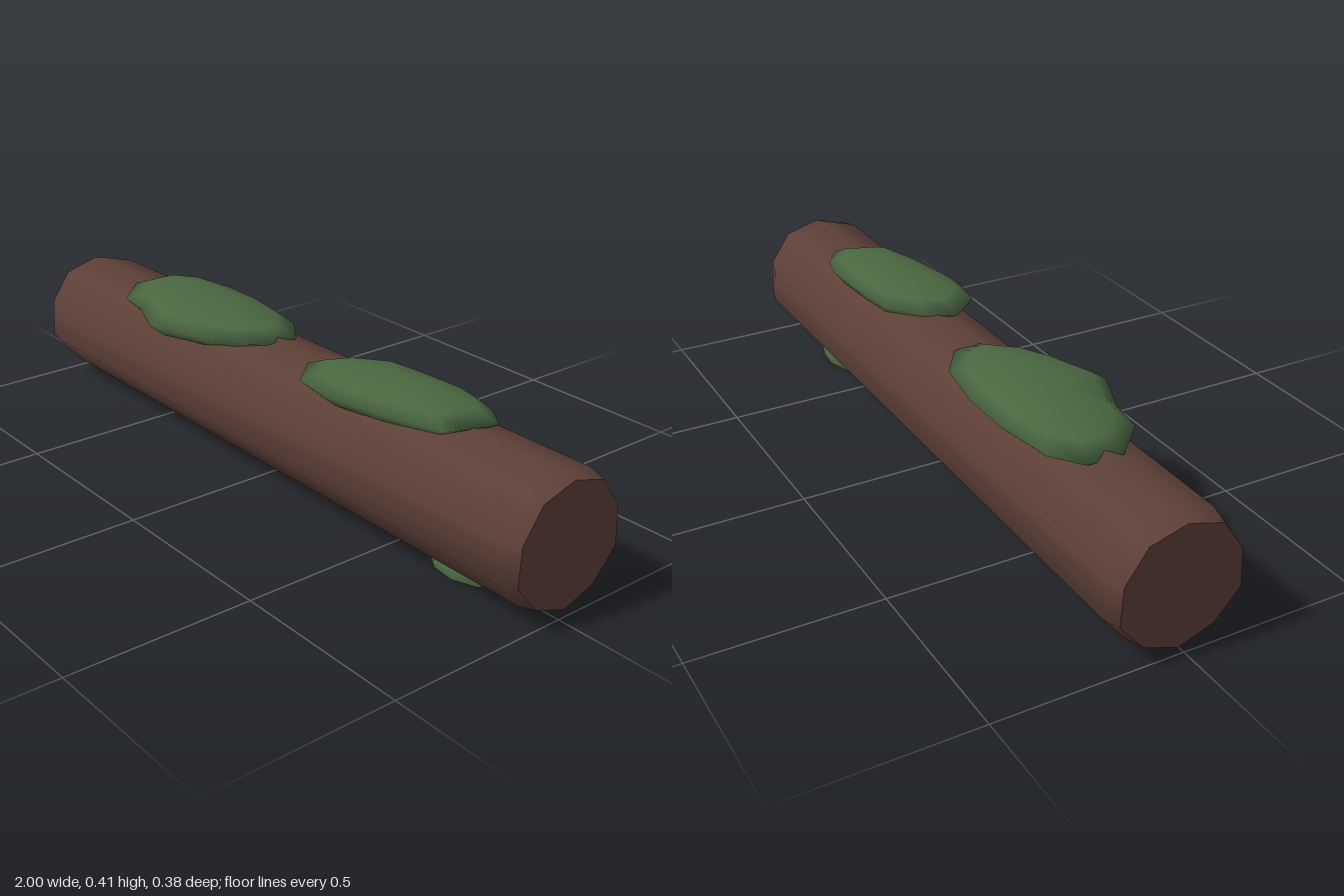
import * as THREE from 'three';

const bark = new THREE.MeshStandardMaterial({ color: 0x5d4037 });
bark.name = 'bark';
const moss = new THREE.MeshStandardMaterial({ color: 0x4a6741, side: THREE.DoubleSide });
moss.name = 'moss';

const LOG_Y = 0.185, LOG_Z = -0.017;
// corner radii from the top of the log down to the bottom, same on both sides
const RADII = [0.177, 0.181, 0.178, 0.184, 0.174, 0.177];

function part(name, geometry, material) {
  const mesh = new THREE.Mesh(geometry, material);
  mesh.name = name;
  return mesh;
}

// Ring corner k (0 at the top) at position x, scaled by s
function corner(k, x, s) {
  const a = (k / 10) * Math.PI * 2;
  const r = RADII[Math.min(k % 10, 10 - (k % 10))] * s;
  return [x, LOG_Y + Math.cos(a) * r, LOG_Z + Math.sin(a) * r];
}

// Stitches rings of equal length, then closes the ends given with a centre point
function loft(rings, startPoint, endPoint) {
  const n = rings[0].length, pos = rings.flat(2), idx = [];
  for (let r = 0; r < rings.length - 1; r++) {
    for (let k = 0; k < n; k++) {
      const a = r * n + k, b = r * n + (k + 1) % n;
      idx.push(a, b, a + n, b, b + n, a + n);
    }
  }
  const fan = (point, base, flip) => {
    const c = pos.length / 3;
    pos.push(...point);
    for (let k = 0; k < n; k++) {
      const a = base + k, b = base + (k + 1) % n;
      idx.push(...(flip ? [c, b, a] : [c, a, b]));
    }
  };
  if (startPoint) fan(startPoint, 0, true);
  if (endPoint) fan(endPoint, (rings.length - 1) * n, false);
  const g = new THREE.BufferGeometry();
  g.setAttribute('position', new THREE.Float32BufferAttribute(pos, 3));
  g.setIndex(idx);
  g.computeVertexNormals();
  return g;
}

// Ten-sided trunk with narrowed ends
function trunkRing(x, s) {
  return Array.from({ length: 10 }, (_, k) => corner(k, x, s));
}

// Moss clump: outline [x, z] scaled about its middle at each [scale, y] layer
function clump(outline, layers, bottomY, topY) {
  const n = outline.length;
  const cx = outline.reduce((s, p) => s + p[0], 0) / n;
  const cz = outline.reduce((s, p) => s + p[1], 0) / n;
  const rings = layers.map(([s, y]) =>
    outline.map(([x, z]) => [cx + (x - cx) * s, y, cz + (z - cz) * s]));
  return loft(rings, bottomY === null ? null : [cx, bottomY, cz], [cx, topY, cz]);
}

export function createModel() {
  const group = new THREE.Group();
  group.name = 'mossyLog';

  const profile = [[-1, 0.93], [-0.95, 1], [0.95, 1], [1, 0.93]];
  group.add(part('trunk', loft(profile.map(([x, s]) => trunkRing(x, s))), bark));

  // flat cut ends
  for (const side of [-1, 1]) {
    const ring = [trunkRing(side, 0.93)];
    const centre = [side, LOG_Y, LOG_Z];
    const cap = side < 0 ? loft(ring, centre, null) : loft(ring, null, centre);
    group.add(part(side < 0 ? 'rightCutEnd' : 'leftCutEnd', cap, bark));
  }

  // outlines run counter-clockwise as seen from above
  const large = [[-0.7, -0.08], [-0.7, 0.02], [-0.6, 0.12], [-0.5, 0.135], [-0.36, 0.193], [-0.2, 0.135],
    [-0.1, 0.08], [-0.03, 0], [-0.04, -0.07], [-0.14, -0.14], [-0.3, -0.165], [-0.45, -0.165], [-0.62, -0.14]];
  group.add(part('largeMoss', clump(large,
    [[0.45, 0.31], [0.78, 0.317], [1, 0.352], [0.8, 0.378], [0.45, 0.394]], 0.308, 0.4), moss));

  const small = [[0.17, -0.05], [0.13, 0.03], [0.21, 0.12], [0.3, 0.135], [0.5, 0.1], [0.66, 0.05],
    [0.68, 0.01], [0.71, -0.08], [0.64, -0.13], [0.56, -0.148], [0.4, -0.14], [0.27, -0.125]];
  group.add(part('smallMoss', clump(small,
    [[0.45, 0.32], [0.8, 0.328], [1, 0.36], [0.8, 0.386], [0.45, 0.4]], 0.318, 0.405), moss));

  // hollow dome of moss under the log
  const under = [[0.59, -0.05], [0.59, 0.02], [0.65, 0.06], [0.72, 0.07], [0.79, 0.045],
    [0.81, -0.01], [0.81, -0.07], [0.76, -0.115], [0.69, -0.122], [0.62, -0.1]];
  group.add(part('underMoss', clump(under,
    [[0.97, 0], [1, 0.025], [0.8, 0.042]], null, 0.048), moss));

  return group;
}
